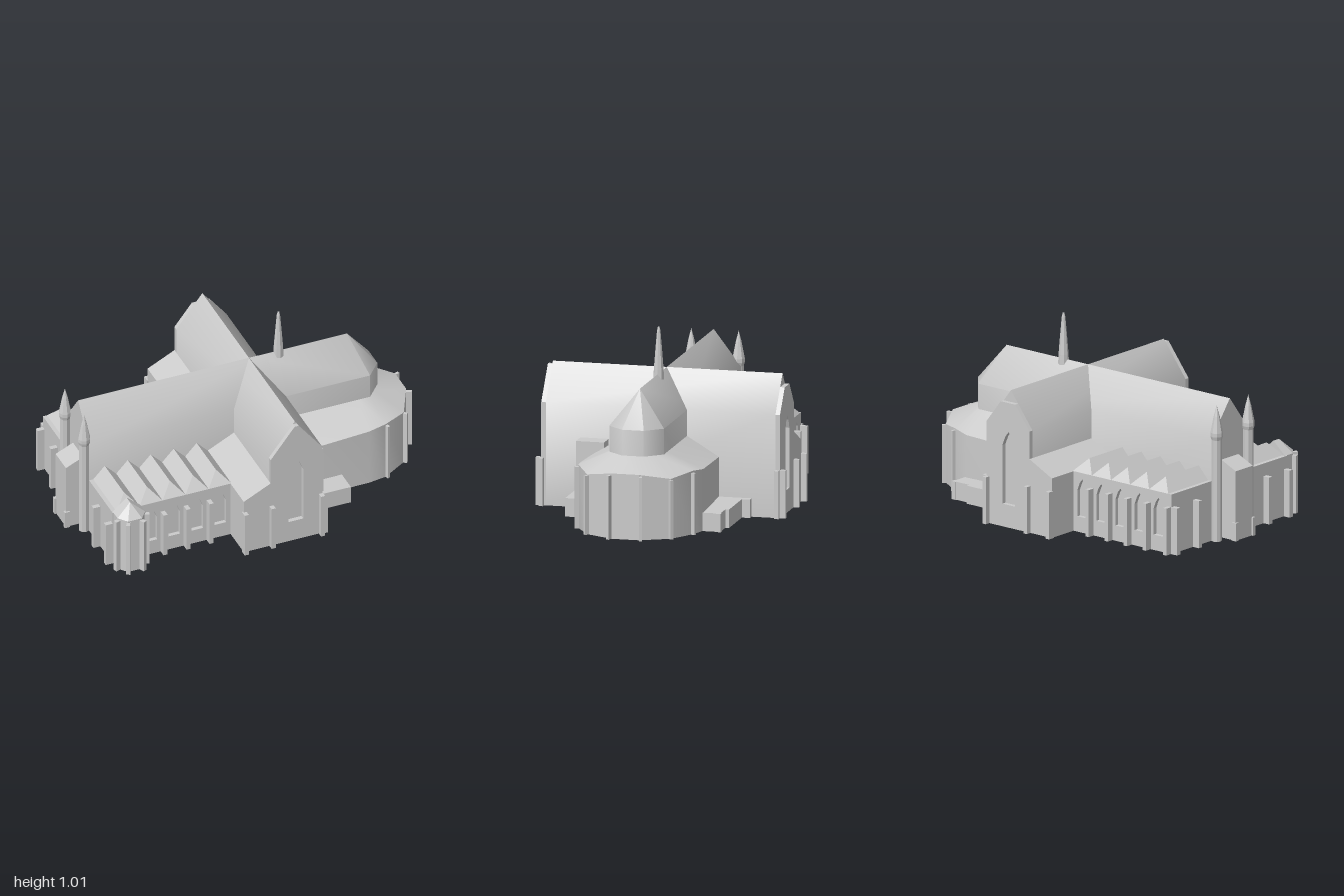
import * as THREE from 'three';
import { toCreasedNormals } from 'three/addons/utils/BufferGeometryUtils.js';
import { ConvexGeometry } from 'three/addons/geometries/ConvexGeometry.js';

const flat = new THREE.MeshStandardMaterial({ color: 0xcccccc, flatShading: true });
const smooth = new THREE.MeshStandardMaterial({ color: 0xcccccc });

export function createModel() {
  const group = new THREE.Group();
  const add = (name, geo, mat = flat) => {
    const mesh = new THREE.Mesh(geo, mat);
    mesh.name = name;
    group.add(mesh);
    return mesh;
  };
  // Box given by its limits
  const box = (name, x0, x1, y0, y1, z0, z1) =>
    add(name, new THREE.BoxGeometry(x1 - x0, y1 - y0, z1 - z0)
      .translate((x0 + x1) / 2, (y0 + y1) / 2, (z0 + z1) / 2));
  const hull = (name, pts) =>
    add(name, new ConvexGeometry(pts.map(p => new THREE.Vector3(...p))));
  const shapeOf = pts => new THREE.Shape(pts.map(p => new THREE.Vector2(...p)));
  // Outline in the xy plane, pushed from z0 to z1
  const slab = (shape, z0, z1) =>
    new THREE.ExtrudeGeometry(shape, { depth: z1 - z0, bevelEnabled: false }).translate(0, 0, z0);
  const pointedWindow = (x, w, y0, y1, peak) => new THREE.Path(
    [[x - w, y0], [x + w, y0], [x + w, y1], [x + w * 0.55, (y1 + peak) / 2 + 0.008], [x, peak],
      [x - w * 0.55, (y1 + peak) / 2 + 0.008], [x - w, y1]].map(p => new THREE.Vector2(...p)));
  // Surface through rings with the same number of points, from low to high
  const loft = (name, rings, crease) => {
    const n = rings[0].length, index = [];
    for (let i = 0; i < rings.length - 1; i++) {
      for (let j = 0; j < n - 1; j++) {
        const a = i * n + j, b = a + 1, d = a + n, c = d + 1;
        index.push(a, d, c, a, c, b);
      }
    }
    const geo = new THREE.BufferGeometry();
    geo.setAttribute('position', new THREE.Float32BufferAttribute(rings.flat(2), 3));
    geo.setIndex(index);
    return add(name, toCreasedNormals(geo, crease), smooth);
  };

  // Nave with its pitched roof
  const gable = c => [[c - 0.15, 0], [c + 0.15, 0], [c + 0.15, 0.56], [c, 0.755], [c - 0.15, 0.56]];
  const nave = slab(shapeOf(gable(0)), -0.89, 0.2).rotateY(Math.PI / 2);
  add('nave', toCreasedNormals(nave, 0.7), smooth);

  // Transept, gable end walls with a tall window, and its lean-to aisle
  add('transept', toCreasedNormals(slab(shapeOf(gable(0.095)), -0.635, 0.625), 0.7), smooth);
  for (const [z0, z1, top] of [[-0.66, -0.635, 0.69], [0.625, 0.65, 0.74]]) {
    const half = 0.15 * (0.755 - top) / 0.195, pts = gable(0.095);
    pts.splice(3, 1, [0.095 + half, top], [0.095 - half, top]);
    const wall = shapeOf(pts);
    wall.holes.push(pointedWindow(0.09, 0.043, 0.125, 0.45, 0.53));
    add('transeptGableWall', slab(wall, z0, z1));
  }
  add('transeptAisle', slab(shapeOf([[-0.21, 0], [-0.05, 0], [-0.05, 0.41], [-0.21, 0.33]]), -0.66, 0.65));
  for (const x of [-0.205, -0.05, 0.235]) {
    box('transeptButtress', x - 0.012, x + 0.012, 0, 0.26, 0.64, 0.68);
    box('transeptButtress', x - 0.012, x + 0.012, 0, 0.26, -0.69, -0.65);
  }
  box('transeptButtress', 0.24, 0.272, 0, 0.26, 0.635, 0.658);
  box('transeptButtress', 0.24, 0.272, 0, 0.26, -0.658, -0.635);

  // Choir with a rounded eastern end
  const plan = [[0.095, -0.15], [0.73, -0.15], [0.81, -0.06], [0.81, 0.06], [0.73, 0.15], [0.095, 0.15]];
  loft('choir', [
    plan.map(([x, z]) => [x, 0, z]),
    plan.map(([x, z]) => [x, 0.56, z]),
    plan.map(([x]) => [x < 0.2 ? x : 0.66, 0.755, 0]),
  ], 0.9);

  // Ambulatory around the choir
  const outer = [[0.24, 0.315, -0.325], [0.65, 0.335, -0.345], [0.75, 0.345, -0.315], [0.89, 0.325, -0.23],
    [0.97, 0.355, -0.075], [0.97, 0.355, 0.075], [0.89, 0.325, 0.23], [0.75, 0.345, 0.315],
    [0.65, 0.335, 0.33], [0.24, 0.315, 0.335]];
  const inner = [[0.24, -0.15], [0.66, -0.15], [0.73, -0.15], [0.77, -0.105], [0.81, -0.06],
    [0.81, 0.06], [0.77, 0.105], [0.73, 0.15], [0.66, 0.15], [0.24, 0.15]];
  loft('ambulatory', [
    outer.map(() => [0.24, 0, 0]),
    outer.map(([x, , z]) => [x, 0, z]),
    outer,
    inner.map(([x, z]) => [x, 0.42, z]),
  ], 0.45);
  for (const s of [-1, 1]) {
    for (const [x, z, turn, h] of [[0.975, 0.085, 0.3, 0.345], [0.89, 0.225, 0.75, 0.32], [0.755, 0.31, 1.2, 0.335]]) {
      const b = add('ambulatoryButtress', new THREE.BoxGeometry(0.045, h, 0.016));
      b.position.set(x, h / 2, s * z);
      b.rotation.y = -s * turn;
    }
  }

  // Low annexes beside the choir
  box('southAnnex', 0.24, 0.49, 0, 0.1, 0.3, 0.455);
  box('southStairBlock', 0.24, 0.34, 0, 0.38, 0.28, 0.435);
  box('northAnnex', 0.24, 0.55, 0, 0.1, -0.46, -0.3);
  box('northAnnex', 0.54, 0.66, 0, 0.1, -0.44, -0.3);
  box('northAnnexButtress', 0.24, 0.28, 0, 0.1, -0.505, -0.45);
  box('northAnnexButtress', 0.64, 0.668, 0, 0.1, -0.445, -0.42);

  // Side aisles: windowed walls, cross roofs and buttresses
  const bay = 0.1325;
  for (const [s, depth] of [[1, 0.47], [-1, 0.48]]) {
    const core = depth - 0.022;
    box('aisle', -0.89, -0.2, 0, 0.33, Math.min(0, s * core), Math.max(0, s * core));
    const wall = shapeOf([[-0.89, 0], [-0.2, 0], [-0.2, 0.33], [-0.89, 0.33]]);
    for (let i = s > 0 ? 1 : 0; i < 5; i++) {
      wall.holes.push(pointedWindow(-0.8 + i * bay, 0.034, 0.085, 0.23, 0.295));
    }
    add('aisleWindowWall', slab(wall, Math.min(s * core, s * depth), Math.max(s * core, s * depth)));
    for (let i = 0; i < 5; i++) {
      const x = -0.8 + i * bay, l = x - bay / 2, r = x + bay / 2;
      hull('aisleBayRoof', [[l, 0.33, s * 0.1], [r, 0.33, s * 0.1], [x, 0.4, s * 0.1],
        [l, 0.33, s * depth], [r, 0.33, s * depth], [x, 0.4, s * (depth - 0.06)]]);
      const bx = i ? l : -0.875;
      if (i || s < 0) {
        const z0 = s * (depth - 0.01), z1 = s * (depth + 0.04);
        box('aisleButtress', bx - 0.012, bx + 0.012, 0, 0.26, Math.min(z0, z1), Math.max(z0, z1));
      }
    }
    // West front buttresses
    for (const z of [0.29, depth - 0.012]) {
      box('westButtress', -0.93, -0.88, 0, 0.26, s * z - 0.013, s * z + 0.013);
    }
  }

  // Polygonal chapel at the southwest corner
  const chapel = [[-0.885, 0.46], [-0.885, 0.525], [-0.845, 0.575], [-0.765, 0.575], [-0.725, 0.525], [-0.725, 0.46]];
  hull('cornerChapel', chapel.flatMap(([x, z]) => [[x, 0, z], [x, 0.33, z]]));
  hull('cornerChapelRoof', [...chapel.map(([x, z]) => [x, 0.33, z]), [-0.805, 0.4, 0.505], [-0.805, 0.4, 0.46]]);
  for (const [x, z] of chapel.slice(1, 5)) {
    const b = add('chapelButtress', new THREE.BoxGeometry(0.022, 0.32, 0.04));
    b.position.set(x, 0.16, z + 0.005);
    b.rotation.y = Math.atan2(x + 0.805, z - 0.5);
  }

  // West porch with sloping roof
  hull('westPorch', [-0.07, 0.07].flatMap(z =>
    [[-0.99, 0, z], [-0.99, 0.385, z], [-0.88, 0.435, z], [-0.88, 0, z]]));
  for (const z of [-0.07, 0.07]) box('porchButtress', -1, -0.97, 0, 0.1, z - 0.01, z + 0.01);

  // Stair turrets and the ridge spire
  const spindle = (name, profile, x, z) => add(name,
    new THREE.LatheGeometry(profile.map(p => new THREE.Vector2(...p)), 8)).position.set(x, 0, z);
  for (const z of [-0.132, 0.128]) {
    spindle('westTurret', [[0, 0], [0.028, 0], [0.028, 0.56], [0.034, 0.58], [0.034, 0.6], [0.016, 0.69], [0, 0.75]], -0.91, z);
  }
  spindle('ridgeSpire', [[0, 0.725], [0.029, 0.725], [0.027, 0.78], [0.019, 0.88], [0.01, 0.985], [0.005, 1.008], [0, 1.01]], 0.265, 0);

  return group;
}
